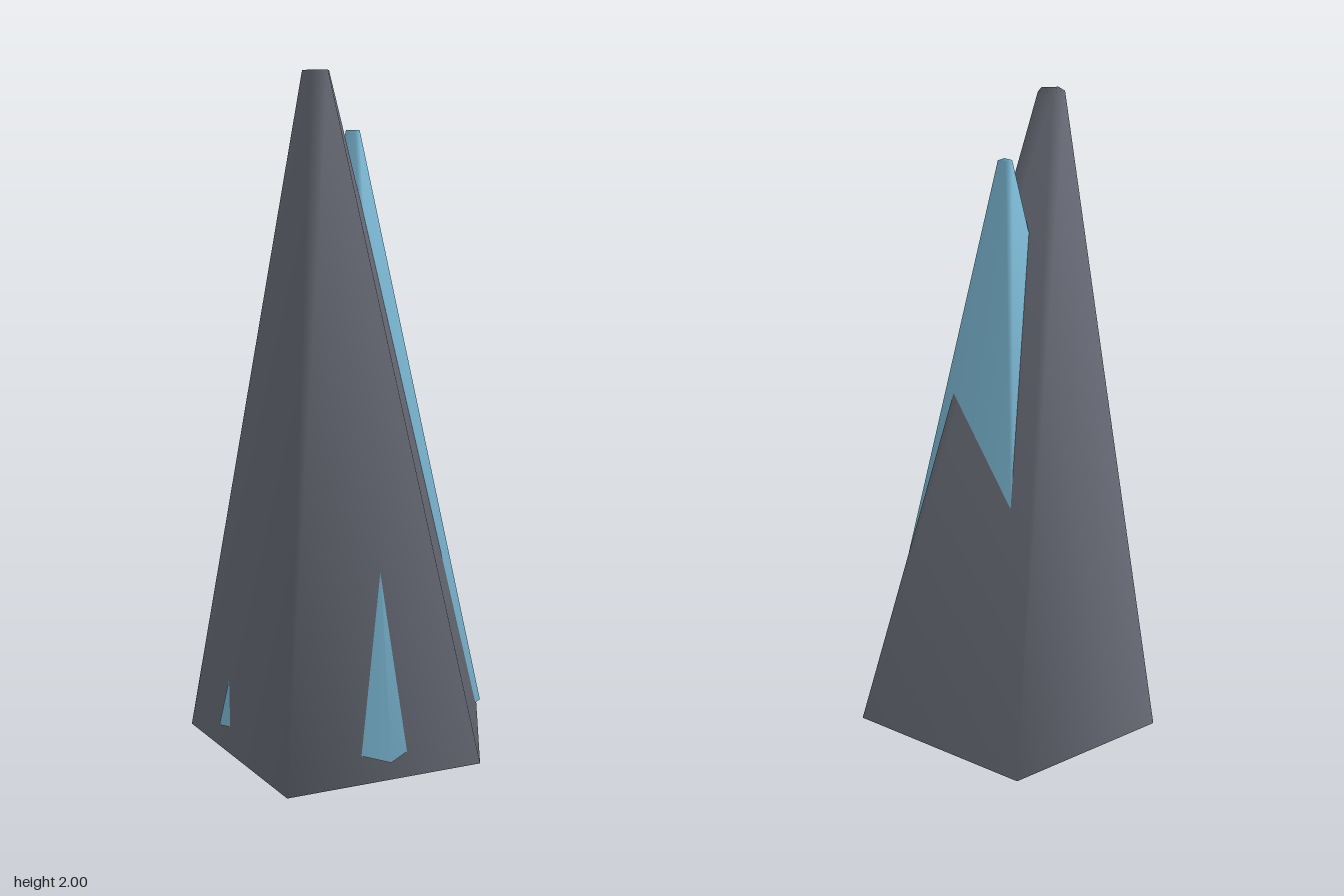
import * as THREE from 'three';

// Corners of a regular polygon, starting at the back and running towards +x.
function ring(sides, radius, cx, cz, height) {
  const points = [];
  for (let i = 0; i < sides; i++) {
    const a = (i / sides) * Math.PI * 2;
    const x = cx + radius * Math.sin(a);
    const z = cz - radius * Math.cos(a);
    points.push(new THREE.Vector3(x, height(x, z), z));
  }
  return points;
}

// Closed spike between two rings; shared corners give soft shading.
function spike(name, bottom, top, material) {
  const n = bottom.length;
  const index = [];
  for (let i = 0; i < n; i++) {
    const j = (i + 1) % n;
    index.push(j, i, n + i, j, n + i, n + j);
  }
  for (let i = 1; i < n - 1; i++) {
    index.push(0, i, i + 1, n, n + i + 1, n + i);
  }
  const geometry = new THREE.BufferGeometry().setFromPoints([...bottom, ...top]);
  geometry.setIndex(index);
  geometry.computeVertexNormals();
  const mesh = new THREE.Mesh(geometry, material);
  mesh.name = name;
  return mesh;
}

export function createModel() {
  const stone = new THREE.MeshStandardMaterial({ color: 0x6b6e7a });
  stone.name = 'greyStone';
  const ice = new THREE.MeshStandardMaterial({ color: 0x80bedb });
  ice.name = 'paleBlueCrystal';

  const group = new THREE.Group();
  group.name = 'crystalRock';

  // Leaning five-sided rock on a slightly tilted base
  group.add(spike(
    'rockSpire',
    ring(5, 0.485, 0, 0.014, (x, z) => Math.max(0, 0.059 + 0.074 * x - 0.09 * z)),
    ring(5, 0.04, -0.138, 0.186, () => 2),
    stone
  ));

  // Upright four-sided crystal breaking through the rock
  group.add(spike(
    'blueCrystal',
    ring(4, 0.41, 0, 0.056, () => 0.1),
    ring(4, 0.02, 0, 0.056, () => 1.84),
    ice
  ));

  return group;
}
